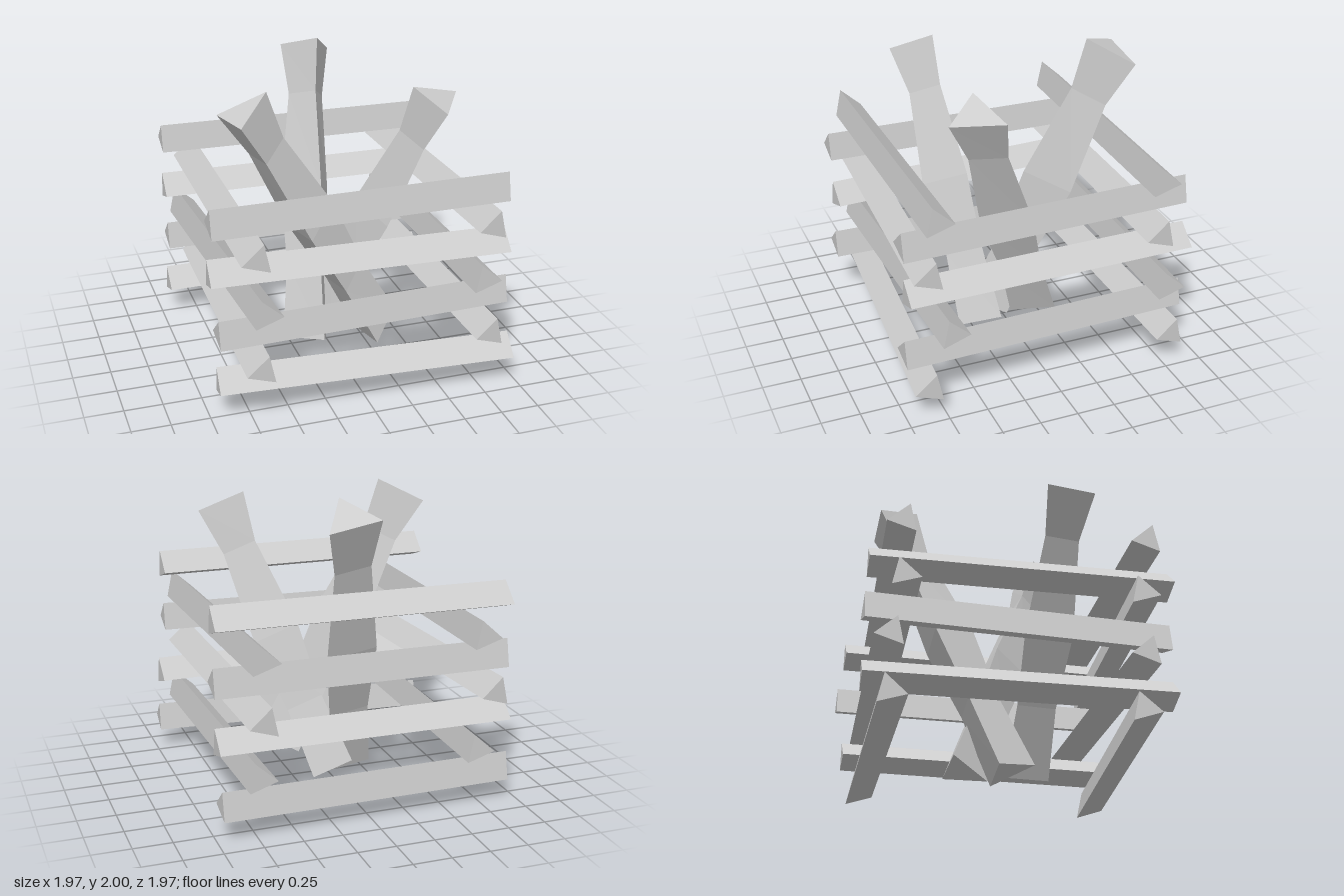
import * as THREE from 'three';

const stone = new THREE.MeshStandardMaterial({ color: 0xcccccc, flatShading: true });
stone.name = 'plain grey';

// Stacked three-sided beams: [height, [startX, startZ, endX, endZ] for each beam].
// Every level turns a quarter, so the ridge of the section turns with it.
const LEVELS = [
  [0.22, [0.97, 0.85, -0.94, 0.72], [0.96, -0.80, -0.94, -0.78]],
  [0.41, [-0.71, 0.985, -0.69, -0.93], [0.79, 0.97, 0.74, -0.93]],
  [0.59, [-0.94, 0.76, 0.98, 0.70], [-0.93, -0.78, 0.97, -0.76]],
  [0.777, [-0.80, -0.94, -0.68, 0.97], [0.72, -0.985, 0.755, 0.93]],
  [0.967, [0.92, 0.82, -0.98, 0.735], [0.97, -0.69, -0.95, -0.72]],
  [1.15, [-0.73, 0.985, -0.725, -0.92], [0.78, 0.965, 0.715, -0.945]],
  [1.335, [-0.975, 0.78, 0.93, 0.77], [-0.95, -0.73, 0.965, -0.69]],
];

function beam(y, [x0, z0, x1, z1]) {
  const length = Math.hypot(x1 - x0, z1 - z0);
  const start = THREE.MathUtils.degToRad(78);
  const geometry = new THREE.CylinderGeometry(0.108, 0.108, length, 3, 1, false, start);
  geometry.rotateX(Math.PI / 2);
  const mesh = new THREE.Mesh(geometry, stone);
  mesh.position.set((x0 + x1) / 2, y, (z0 + z1) / 2);
  mesh.rotation.y = Math.atan2(x1 - x0, z1 - z0);
  return mesh;
}

// Leaning logs: top triangle and bottom triangle, counter-clockwise from above
const LOGS = [
  [[[-0.48, 1.94, 0.30], [-0.77, 1.79, 0.20], [-0.70, 1.80, 0.53]],
    [[0.43, 0.27, 0.18], [0.17, 0.125, 0.09], [0.23, 0.14, 0.40]]],
  [[[0.11, 2.0, -0.535], [0.27, 1.84, -0.81], [-0.07, 1.90, -0.80]],
    [[-0.09, 0.13, 0.24], [0.01, 0.005, -0.03], [-0.30, 0.05, -0.03]]],
  [[[0.45, 1.90, 0.37], [0.60, 1.77, 0.58], [0.78, 1.81, 0.28]],
    [[-0.08, 0.17, -0.28], [0.05, 0.05, -0.04], [0.20, 0.10, -0.31]]],
];

// Position along the log and thickness of each ring
const RINGS = [[0, 1], [0.17, 0.72], [0.49, 1.04], [0.75, 0.85], [1, 1]];

function log(top, bottom) {
  const a = top.map((p) => new THREE.Vector3(...p));
  const b = bottom.map((p) => new THREE.Vector3(...p));
  const rings = RINGS.map(([t, scale]) => {
    const ring = a.map((p, i) => p.clone().lerp(b[i], t));
    const centre = new THREE.Vector3();
    ring.forEach((p) => centre.addScaledVector(p, 1 / 3));
    return ring.map((p) => p.sub(centre).multiplyScalar(scale).add(centre));
  });
  const points = [...rings[0], ...[...rings[rings.length - 1]].reverse()];
  for (let r = 0; r < rings.length - 1; r++) {
    const u = rings[r];
    const l = rings[r + 1];
    for (let i = 0; i < 3; i++) {
      const j = (i + 1) % 3;
      points.push(u[i], l[i], l[j], u[i], l[j], u[j]);
    }
  }
  const geometry = new THREE.BufferGeometry().setFromPoints(points);
  geometry.computeVertexNormals();
  return new THREE.Mesh(geometry, stone);
}

export function createModel() {
  const model = new THREE.Group();
  model.name = 'logPile';

  // Square crib of crossed beams
  const crib = new THREE.Group();
  crib.name = 'beamCrib';
  LEVELS.forEach(([y, ...pair], level) => pair.forEach((ends, i) => {
    const mesh = beam(y, ends);
    mesh.name = `beamLevel${level + 1}${i ? 'B' : 'A'}`;
    crib.add(mesh);
  }));
  model.add(crib);

  // Three logs leaning against the crib from inside
  LOGS.forEach(([top, bottom], i) => {
    const mesh = log(top, bottom);
    mesh.name = `leaningLog${i + 1}`;
    model.add(mesh);
  });
  return model;
}
